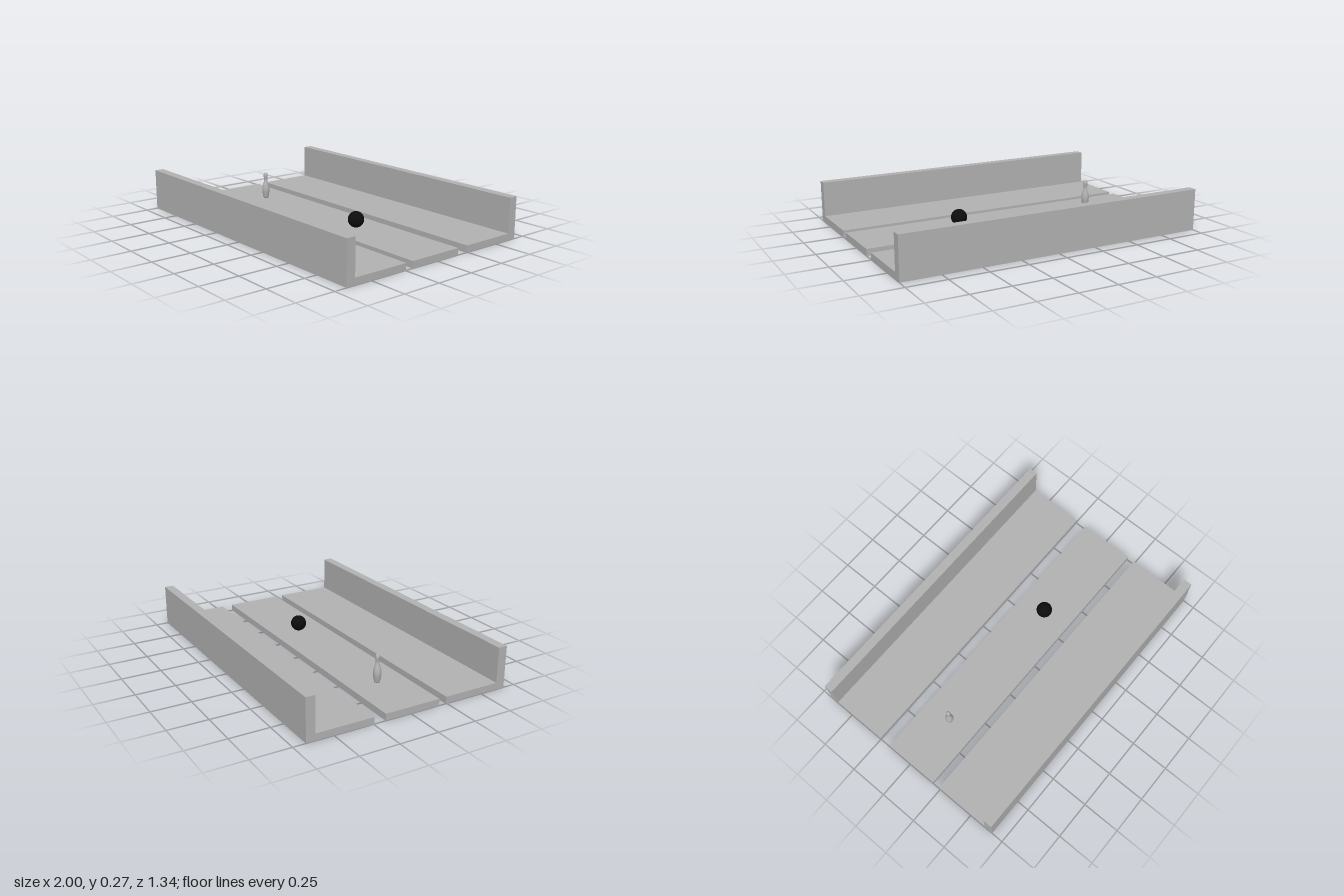
import * as THREE from 'three';

const FLOOR = 0.043, WALL = 0.267, LENGTH = 2;

// Extrudes a cross-section, given as [z, y] points, along the x axis
function extrudeAlongX(points) {
  const shape = new THREE.Shape(points.map(([z, y]) => new THREE.Vector2(-z, y)));
  const geometry = new THREE.ExtrudeGeometry(shape, { depth: LENGTH, bevelEnabled: false });
  return geometry.translate(0, 0, -LENGTH / 2).rotateY(Math.PI / 2);
}

export function createModel() {
  const model = new THREE.Group();
  model.name = 'bowlingLane';
  const grey = new THREE.MeshStandardMaterial({ color: 0xb2b2b2 });
  grey.name = 'grey';
  const black = new THREE.MeshStandardMaterial({ color: 0x0d0d0d });
  black.name = 'black';

  const add = (name, geometry, material) => {
    const mesh = new THREE.Mesh(geometry, material);
    mesh.name = name;
    model.add(mesh);
    return mesh;
  };

  // Centre lane, slightly nearer the front side rail
  add('lane', extrudeAlongX([[-0.17, 0], [0.195, 0], [0.195, FLOOR], [-0.17, FLOOR]]), grey);

  // L-shaped side floors with outer walls, mirrored front to back
  for (const [name, s] of [['frontSideRail', 1], ['backSideRail', -1]]) {
    const section = [[0.245, 0], [0.671, 0], [0.671, WALL], [0.613, WALL], [0.613, FLOOR], [0.245, FLOOR]];
    add(name, extrudeAlongX(section.map(([z, y]) => [z * s, y])), grey);
  }

  // Ball resting on the lane
  add('ball', new THREE.SphereGeometry(0.051, 24, 16), black)
    .position.set(0.319, FLOOR + 0.052, 0.012);

  // Pin turned from a smooth profile: foot, belly, neck and head
  const profile = new THREE.SplineCurve([
    [0.016, 0], [0.021, 0.022], [0.0255, 0.055], [0.022, 0.085], [0.0135, 0.115],
    [0.0115, 0.132], [0.0145, 0.158], [0.01, 0.175], [0, 0.18],
  ].map(([r, y]) => new THREE.Vector2(r, y)));
  const outline = profile.getPoints(32).map(p => new THREE.Vector2(Math.max(p.x, 0), p.y));
  const pin = add('pin', new THREE.LatheGeometry([new THREE.Vector2(0, 0), ...outline], 24), grey);
  pin.position.set(-0.634, FLOOR, 0.015);

  return model;
}
